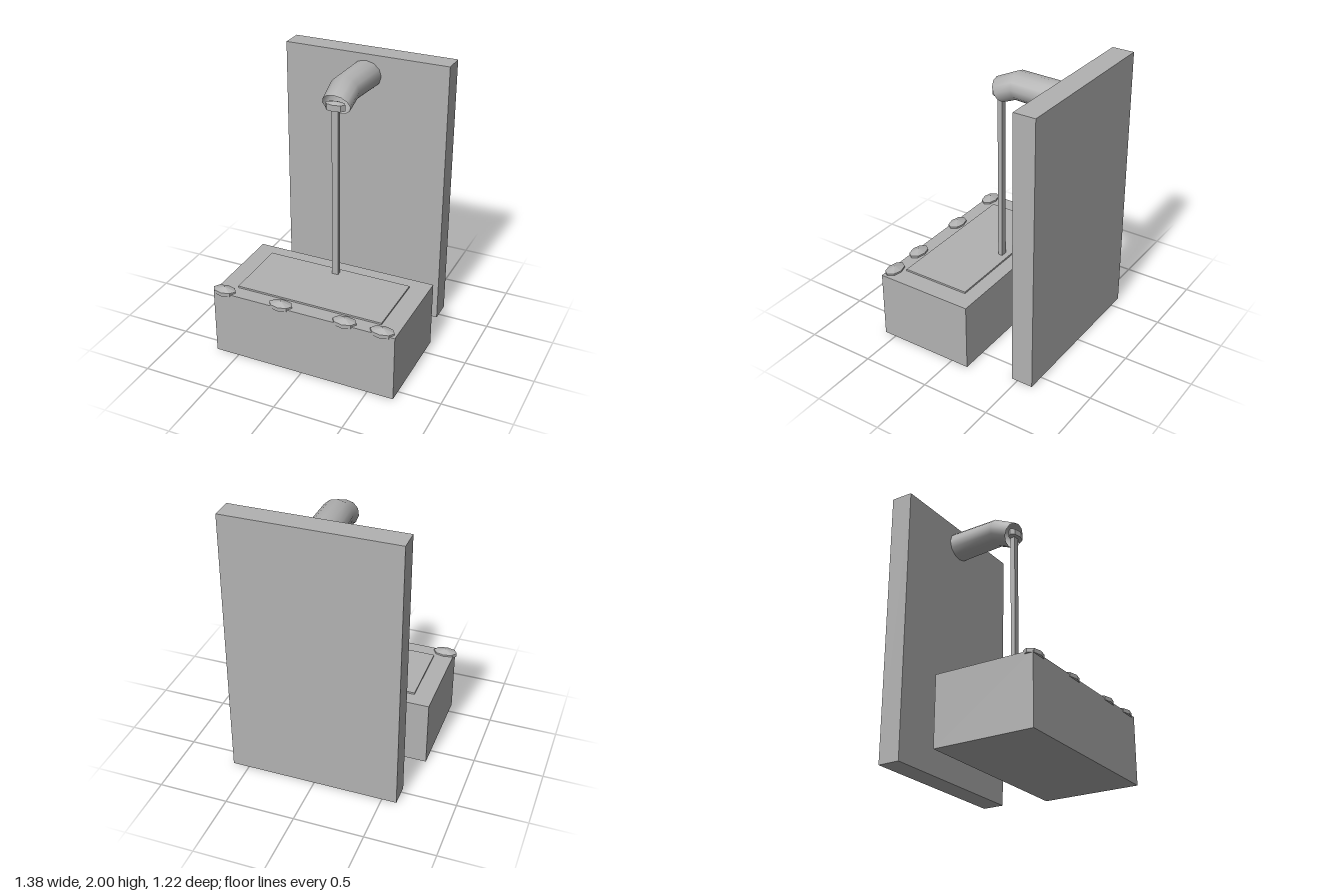
import * as THREE from 'three';

const CX = 0.008; // shared centre line of spout, nozzle and stream

export function createModel() {
  const group = new THREE.Group();
  const stone = new THREE.MeshStandardMaterial({ color: 0xb2b2b2 });
  stone.name = 'stone grey';
  const openStone = stone.clone(); // same grey for the hollow spout
  openStone.side = THREE.DoubleSide;

  const add = (name, geometry, material = stone) => {
    const mesh = new THREE.Mesh(geometry, material);
    mesh.name = name;
    group.add(mesh);
    return mesh;
  };

  // Box given by its minimum and maximum corners
  const box = (name, [x0, y0, z0], [x1, y1, z1]) =>
    add(name, new THREE.BoxGeometry(x1 - x0, y1 - y0, z1 - z0))
      .position.set((x0 + x1) / 2, (y0 + y1) / 2, (z0 + z1) / 2);

  // Oval eight-sided disc with a low pointed top
  const pebble = (name, x, y, z, rx, rz, side, peak) => {
    const profile = [[0, 0], [1, 0], [1, side], [0, peak]].map(([r, h]) => new THREE.Vector2(r, h));
    const geometry = new THREE.LatheGeometry(profile, 8).scale(rx, 1, rz).toNonIndexed();
    geometry.computeVertexNormals();
    add(name, geometry).position.set(x, y, z);
  };

  box('backWall', [-0.605, 0, -0.615], [0.62, 2, -0.455]);
  box('basin', [-0.675, 0, -0.13], [0.69, 0.495, 0.59]);
  box('waterSurface', [-0.54, 0.49, -0.025], [0.55, 0.508, 0.48]);
  box('waterStream', [CX - 0.023, 0.5, 0.016], [CX + 0.023, 1.79, 0.05]);

  // Stones along the front rim
  [-0.607, -0.165, 0.313, 0.587].forEach((x, i) =>
    pebble('rimStone' + (i + 1), x, 0.48, 0.555, 0.087, 0.054, 0.028, 0.05));

  pebble('nozzle', CX, 1.775, 0.042, 0.073, 0.04, 0.045, 0.062);

  // Bent hollow spout: top (z, y), bottom (z, y) and half width of each ring
  const rings = [
    [-0.46, 1.953, -0.46, 1.746, 0.118],
    [-0.095, 1.963, -0.115, 1.767, 0.109],
    [0.07, 1.885, -0.013, 1.724, 0.102],
  ];
  const sides = 12;
  const points = [];
  const index = [];
  rings.forEach(([tz, ty, bz, by, rx], r) => {
    for (let i = 0; i < sides; i++) {
      const a = (i / sides) * Math.PI * 2;
      const t = (1 + Math.cos(a)) / 2;
      points.push(CX + rx * Math.sin(a), by + (ty - by) * t, bz + (tz - bz) * t);
      if (r > 0) {
        const j = (i + 1) % sides;
        const p = (r - 1) * sides;
        const q = r * sides;
        index.push(p + i, q + i, q + j, p + i, q + j, p + j);
      }
    }
  });
  const spout = new THREE.BufferGeometry();
  spout.setAttribute('position', new THREE.Float32BufferAttribute(points, 3));
  spout.setIndex(index);
  spout.computeVertexNormals();
  add('spout', spout, openStone);

  return group;
}
